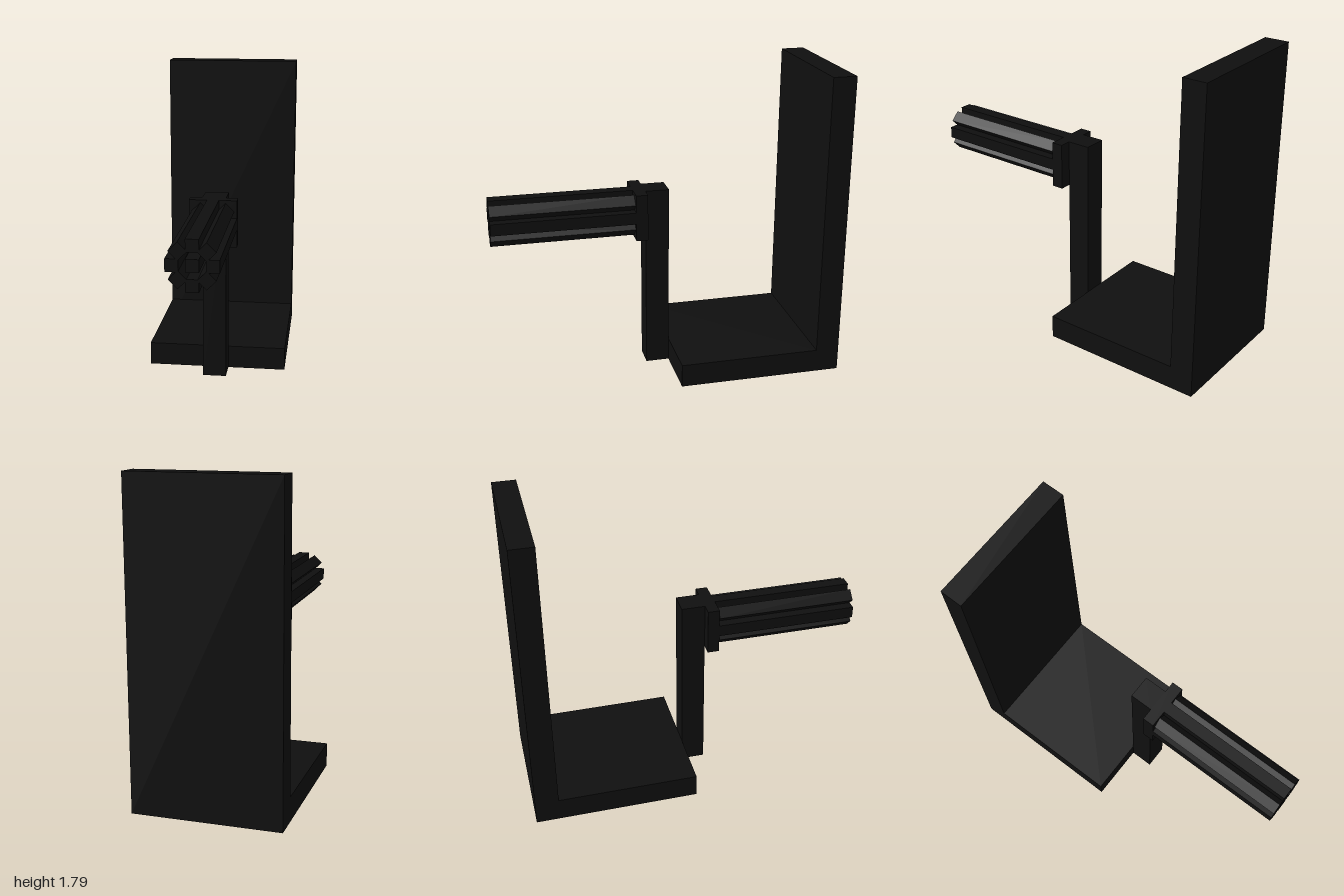
import * as THREE from 'three';

const U = 2 / 29; // modelling unit: everything sits on this grid

export function createModel() {
  const model = new THREE.Group();
  const black = new THREE.MeshStandardMaterial({ color: 0x0f0f0f });
  black.name = 'black';

  // box given by size and centre, in grid units
  const box = (name, [w, h, d], [x, y, z], parent = model) => {
    const mesh = new THREE.Mesh(new THREE.BoxGeometry(w * U, h * U, d * U), black);
    mesh.name = name;
    mesh.position.set(x * U, y * U, z * U);
    parent.add(mesh);
    return mesh;
  };

  // standing platform: tall back panel, floor slab and front post
  box('backPanel', [12, 26, 2], [0, 13, -13.5]);
  box('floorSlab', [12, 2, 12], [0, 1, -6.5]);
  box('frontPost', [2, 16, 2], [0, 8, 0.5]);

  // mounting plate and barrel cluster
  const barrels = new THREE.Group();
  barrels.name = 'barrelCluster';
  barrels.position.y = 14 * U;
  model.add(barrels);
  box('mountPlate', [4, 4, 1], [0, 0, 2], barrels);
  box('centreBarrel', [1, 1, 12], [0, 0, 8.5], barrels);

  // ring of eight square barrels, each turned to face outward
  for (let i = 0; i < 8; i++) {
    const a = (i * Math.PI) / 4;
    const barrel = box('barrel' + (i + 1), [1, 1, 12],
      [1.5 * Math.cos(a), 1.5 * Math.sin(a), 8.5], barrels);
    barrel.rotation.z = a;
  }
  return model;
}
